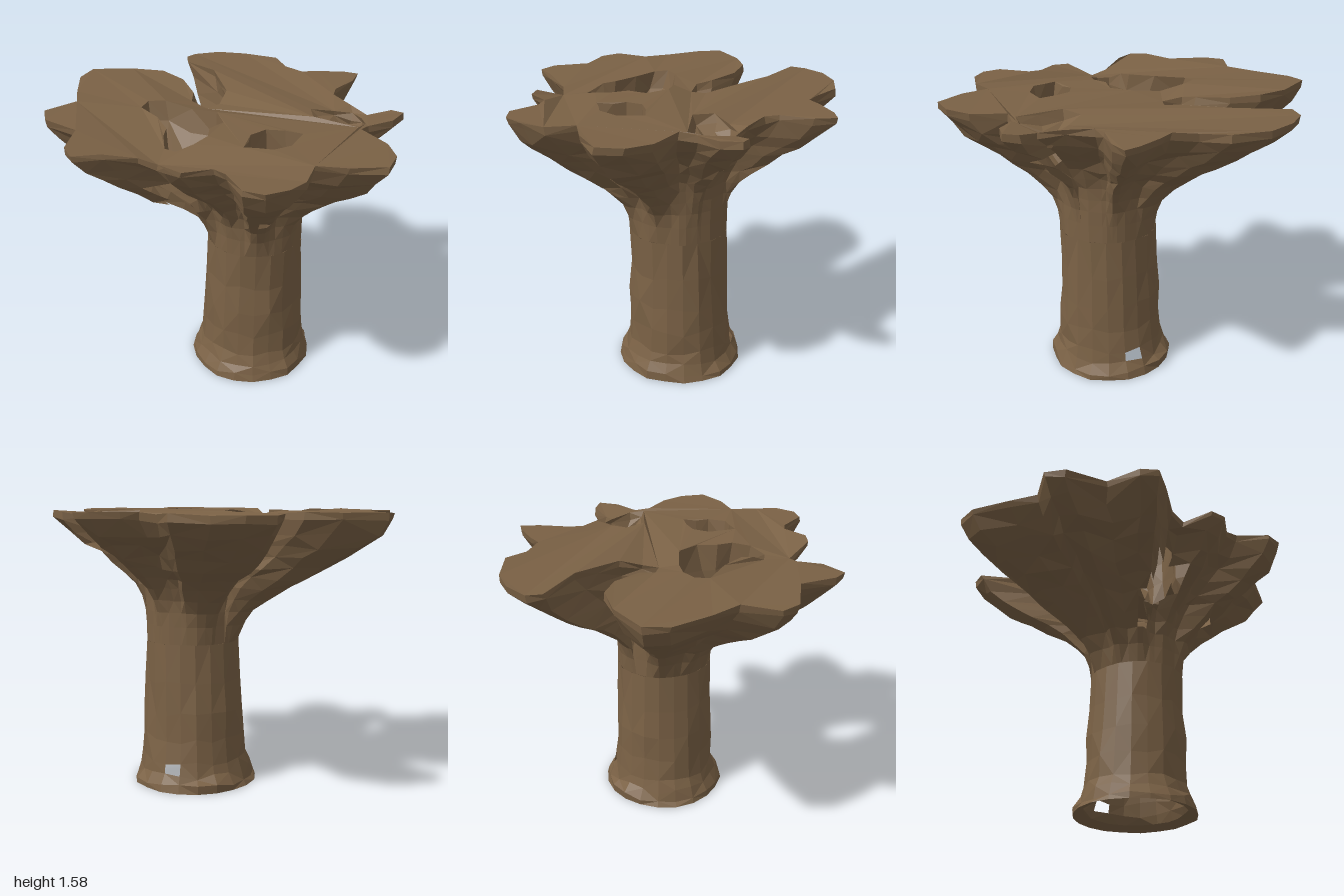
import * as THREE from 'three';

const SIDES = 20, CX = 0.114, CZ = -0.097;
const bark = new THREE.MeshStandardMaterial({ color: 0x7a6145, flatShading: true, side: THREE.DoubleSide });

// Small seeded noise in -1..1
let seed = 7;
const noise = () => {
  seed = (seed * 16807) % 2147483647;
  return (seed / 2147483647) * 2 - 1;
};

const pairs = (a) => Array.from({ length: a.length / 2 }, (_, i) => [a[2 * i], a[2 * i + 1]]);

// Height of the nearly level top, sagging a little at three notches (x, z, depth)
const SAGS = [[0.18, 0.57, 0.07], [0.4, -0.52, 0.05], [-0.22, -0.02, 0.06]];
const topY = (x, z) => SAGS.reduce(
  (y, [sx, sz, depth]) => y - depth * Math.exp(-((x - sx) ** 2 + (z - sz) ** 2) / 0.016),
  1.587 + 0.005 * Math.sin(23 * x + 17 * z),
);

// Lobed outline of the crown as x, z, counter-clockwise from above
const OUTLINE = pairs([
  -0.88, -0.38, -0.85, -0.3, -0.55, -0.29, -0.4, -0.23, -0.27, -0.18, -0.2, -0.08, -0.19, 0.01,
  -0.3, 0.04, -0.37, -0.02, -0.55, -0.07, -0.72, -0.04, -0.87, 0.08, -1, 0.28, -0.94, 0.4,
  -0.75, 0.52, -0.6, 0.6, -0.59, 0.8, -0.48, 0.85, -0.25, 0.79, -0.1, 0.93, 0, 0.95,
  0.07, 0.82, 0.15, 0.66, 0.23, 0.6, 0.38, 0.66, 0.47, 0.62, 0.53, 0.48, 0.6, 0.46,
  0.78, 0.5, 0.87, 0.44, 0.9, 0.32, 0.87, 0.2, 0.78, 0.07, 0.9, -0.04, 1, -0.2,
  0.93, -0.32, 0.8, -0.39, 0.6, -0.4, 0.57, -0.48, 0.61, -0.62, 0.58, -0.73, 0.5, -0.72,
  0.43, -0.61, 0.3, -0.61, 0.15, -0.62, 0.1, -0.68, 0.06, -0.85, 0, -0.95, -0.07, -0.9,
  -0.17, -0.78, -0.22, -0.7, -0.35, -0.69, -0.5, -0.73, -0.7, -0.64, -0.82, -0.52,
]);

// Hollows in the top: rim outline, then the small opening below (centre, radii, height, slope along z)
const HOLLOWS = [
  {
    name: 'frontHollow', x: 0.13, z: 0.38, rx: 0.1, rz: 0.12, y: 1.31, slope: 1.1,
    rim: pairs([-0.37, 0.28, -0.33, 0.35, -0.15, 0.36, 0, 0.4, 0.05, 0.45, 0.12, 0.49, 0.19, 0.47, 0.22, 0.38,
      0.2, 0.28, 0.13, 0.22, 0.1, 0.11, -0.03, 0.06, -0.18, 0.12, -0.32, 0.2]),
  },
  {
    name: 'sideHollow', x: 0.47, z: 0.07, rx: 0.04, rz: 0.06, y: 1.25, slope: 0,
    rim: pairs([0.32, 0, 0.32, 0.1, 0.37, 0.15, 0.42, 0.22, 0.47, 0.17, 0.53, 0.12, 0.54, 0.01, 0.5, -0.05,
      0.47, -0.12, 0.39, -0.07]),
  },
  {
    name: 'backHollow', x: 0.39, z: -0.53, rx: 0.04, rz: 0.03, y: 1.46, slope: 0,
    rim: pairs([0.23, -0.38, 0.33, -0.31, 0.45, -0.37, 0.56, -0.42, 0.53, -0.5, 0.43, -0.57, 0.35, -0.58, 0.29, -0.5]),
  },
];

// Skin closed rings of [x, y, z] points, leaving out quads for which skip() is true
function loft(name, rings, skip = () => false) {
  const n = rings[0].length, index = [];
  for (let j = 0; j < rings.length - 1; j++) {
    for (let i = 0; i < n; i++) {
      const k = (i + 1) % n;
      const quad = [rings[j][i], rings[j][k], rings[j + 1][k], rings[j + 1][i]];
      const mid = [0, 1, 2].map((c) => quad.reduce((s, p) => s + p[c] / 4, 0));
      if (skip(mid, i, j)) continue;
      const a = j * n + i, b = j * n + k;
      if ((i + j) % 2) index.push(a, b, b + n, a, b + n, a + n);
      else index.push(a, b, a + n, b, b + n, a + n);
    }
  }
  const geo = new THREE.BufferGeometry();
  geo.setAttribute('position', new THREE.Float32BufferAttribute(rings.flat(2), 3));
  geo.setIndex(index);
  geo.computeVertexNormals();
  const mesh = new THREE.Mesh(geo, bark);
  mesh.name = name;
  return mesh;
}

export function createModel() {
  const model = new THREE.Group();
  model.name = 'treeStump';

  // Hollow trunk with a turned-in lip, a flared foot and a small knothole at the back
  const profile = [[0.04, 0.29], [0.012, 0.355], [0.05, 0.35], [0.1, 0.32], [0.17, 0.3], [0.3, 0.292],
    [0.45, 0.286], [0.63, 0.275], [0.85, 0.272]];
  const trunkRings = profile.map(([y, r], j) => Array.from({ length: SIDES }, (_, i) => {
    const a = (-i / SIDES) * Math.PI * 2;
    const rr = r * (1 + 0.03 * noise());
    const k = j > 1 && j < profile.length - 1 ? 0.015 : 0;
    const cx = CX - 0.014 * (1 - y / 0.85);
    return [cx + rr * Math.cos(a), y + k * noise(), CZ + rr * Math.sin(a)];
  }));
  model.add(loft('trunk', trunkRings, (m, i, j) => i === 6 && j === 3));

  // Point on the trunk's top ring in the direction of an outline point
  const topRing = trunkRings.at(-1);
  const neckPoint = ([x, z]) => {
    const u = ((-Math.atan2(z - CZ, x - CX) / (Math.PI * 2) + 1) % 1) * SIDES;
    const i = Math.floor(u), p = topRing[i % SIDES], q = topRing[(i + 1) % SIDES];
    return p.map((v, c) => v + (q[c] - v) * (u - i));
  };

  // Flaring crown: the trunk ring spreads into lobes, with steeper walls in the notches and at the back
  const flare = [[0, 0.85], [0.03, 0.95], [0.08, 1.03], [0.18, 1.1], [0.3, 1.17], [0.42, 1.23], [0.55, 1.285],
    [0.68, 1.35], [0.8, 1.41], [0.91, 1.475]];
  const steepness = ([x, z]) => {
    const short = 0.62 - (Math.hypot(x - CX, z - CZ) - 0.27);
    return 1 + (short > 0 ? 3.8 : 0.6) * short + 0.5 * Math.max(0, -z);
  };
  const spread = (o, f, y, k) => {
    const p = neckPoint(o);
    return [p[0] + (o[0] - p[0]) * f + k * noise(), y + k * noise(), p[2] + (o[1] - p[2]) * f + k * noise()];
  };
  const crownRings = flare.map(([f, y]) => OUTLINE.map((o) => spread(o, f ** steepness(o), y, 0.022 * Math.min(f, 0.6))));
  crownRings.push(OUTLINE.map((o) => spread(o, 0.99, topY(...o) - 0.035, 0.01)));
  crownRings.push(OUTLINE.map((o) => spread(o, 1, topY(...o), 0)));
  const inOpening = ([x, , z]) => HOLLOWS.some((h) => Math.hypot((x - h.x) / h.rx, (z - h.z) / h.rz) < 1.1);
  model.add(loft('crown', crownRings, inOpening));

  // Top surface with the hollows cut out
  const toVec = ([x, z]) => new THREE.Vector2(x, -z);
  const shape = new THREE.Shape(OUTLINE.map(toVec));
  HOLLOWS.forEach((h) => shape.holes.push(new THREE.Path(h.rim.map(toVec))));
  const topGeo = new THREE.ShapeGeometry(shape).rotateX(-Math.PI / 2);
  const pos = topGeo.attributes.position;
  for (let i = 0; i < pos.count; i++) pos.setY(i, topY(pos.getX(i), pos.getZ(i)));
  topGeo.computeVertexNormals();
  const top = new THREE.Mesh(topGeo, bark);
  top.name = 'top';
  model.add(top);

  // Funnel walls from each rim down to its opening
  for (const h of HOLLOWS) {
    const rings = [1, 0.7, 0.35, 0].map((t) => h.rim.map(([x, z]) => {
      const a = Math.atan2((z - h.z) / h.rz, (x - h.x) / h.rx);
      const ex = h.x + h.rx * Math.cos(a), ez = h.z + h.rz * Math.sin(a);
      const y = topY(x, z), ey = Math.min(h.y + (ez - h.z) * h.slope, y - 0.03);
      const k = t > 0 && t < 1 ? 0.015 : 0;
      const s = t * t;
      return [x + (ex - x) * s + k * noise(), y + (ey - y) * t + k * noise(), z + (ez - z) * s + k * noise()];
    }));
    model.add(loft(h.name, rings));
  }
  return model;
}
